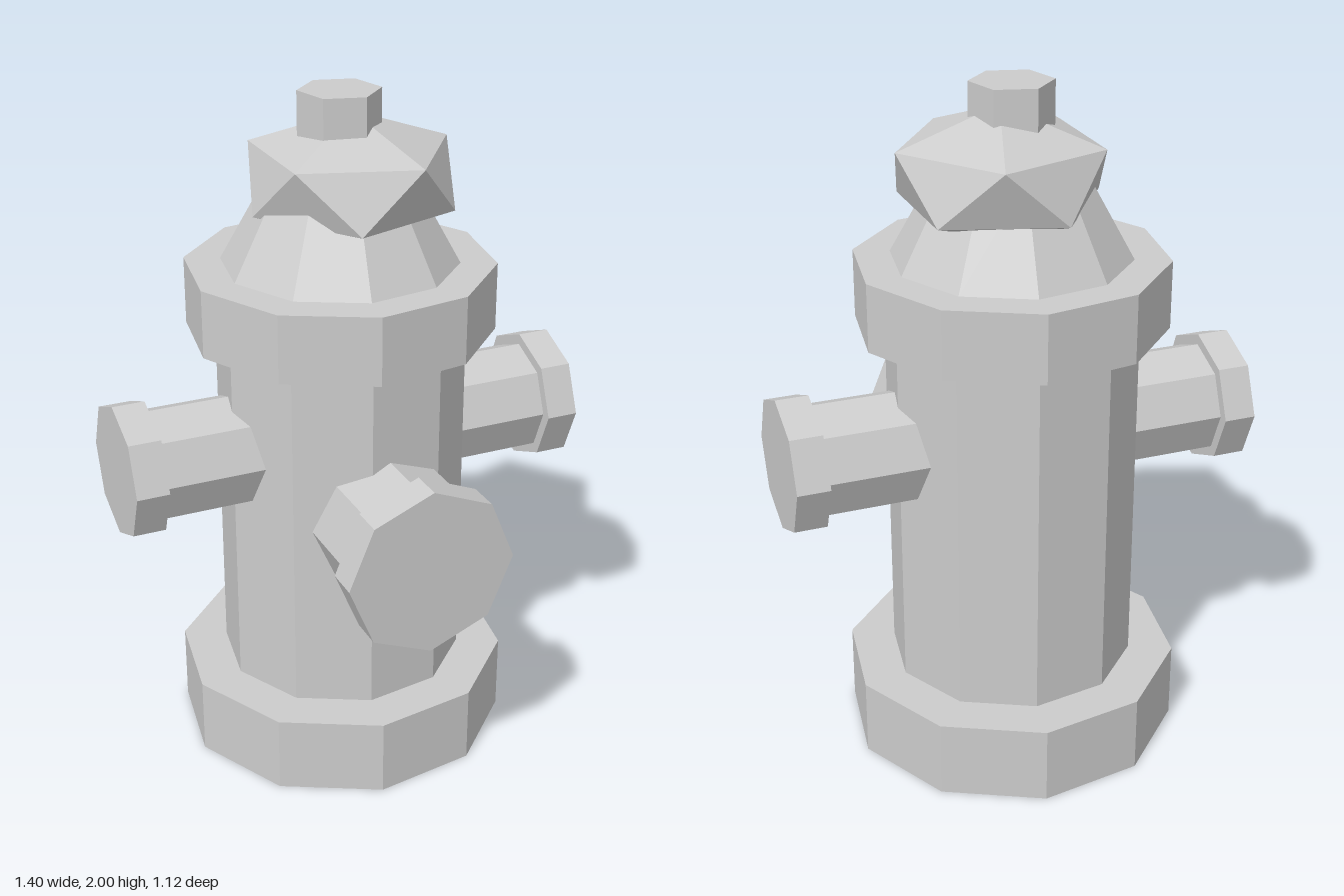
import * as THREE from 'three';
import { ConvexGeometry } from 'three/addons/geometries/ConvexGeometry.js';

const AXIS_Z = -0.0675; // vertical axis of the hydrant
const TWIST = -0.16; // turn of the ten-sided parts

export function createModel() {
  const hydrant = new THREE.Group();
  hydrant.name = 'fireHydrant';
  const iron = new THREE.MeshStandardMaterial({ color: 0xcccccc, flatShading: true });
  iron.name = 'grey iron';

  const add = (name, geometry, parent = hydrant) => {
    const mesh = new THREE.Mesh(geometry, iron);
    mesh.name = name;
    parent.add(mesh);
    return mesh;
  };

  // Upright prism between two heights
  const prism = (name, bottomRadius, topRadius, y0, y1, sides = 10, twist = TWIST) => {
    const geometry = new THREE.CylinderGeometry(topRadius, bottomRadius, y1 - y0, sides, 1, false, twist);
    add(name, geometry).position.set(0, (y0 + y1) / 2, AXIS_Z);
  };
  prism('base', 0.5, 0.5, 0, 0.232);
  prism('barrel', 0.366, 0.366, 0.2, 1.35);
  prism('collar', 0.451, 0.451, 1.302, 1.502);
  prism('dome', 0.346, 0.19, 1.5, 1.78);
  prism('topNut', 0.119, 0.119, 1.85, 2, 6, 0.26);

  // Bonnet: squashed icosahedron, slightly off centre
  const points = [new THREE.Vector3(0, 0.186, 0), new THREE.Vector3(0, -0.186, 0)];
  for (let i = 0; i < 10; i++) {
    const a = (i * Math.PI) / 5;
    points.push(new THREE.Vector3(0.298 * Math.cos(a), i % 2 ? -0.083 : 0.083, 0.298 * Math.sin(a)));
  }
  add('bonnet', new ConvexGeometry(points)).position.set(0.035, 1.75, AXIS_Z);

  // Nozzle along local +y: pipe from the barrel plus a wider end cap
  const nozzle = (name, pipeRadius, capRadius, start, capStart, end) => {
    const group = new THREE.Group();
    group.name = name;
    const section = (part, r, y0, y1) => {
      add(part, new THREE.CylinderGeometry(r, r, y1 - y0, 8), group).position.y = (y0 + y1) / 2;
    };
    section('pipe', pipeRadius, start, capStart + 0.02);
    section('cap', capRadius, capStart, end);
    hydrant.add(group);
    return group;
  };
  for (const side of [1, -1]) {
    const outlet = nozzle(side > 0 ? 'leftNozzle' : 'rightNozzle', 0.168, 0.2, 0.2, 0.602, 0.698);
    outlet.position.set(0, 0.97, AXIS_Z);
    outlet.rotation.z = (-side * Math.PI) / 2;
  }
  const front = nozzle('frontNozzle', 0.211, 0.25, 0.1, 0.464, 0.562);
  front.position.set(0, 0.804, 0);
  front.rotation.x = Math.PI / 2;

  return hydrant;
}
